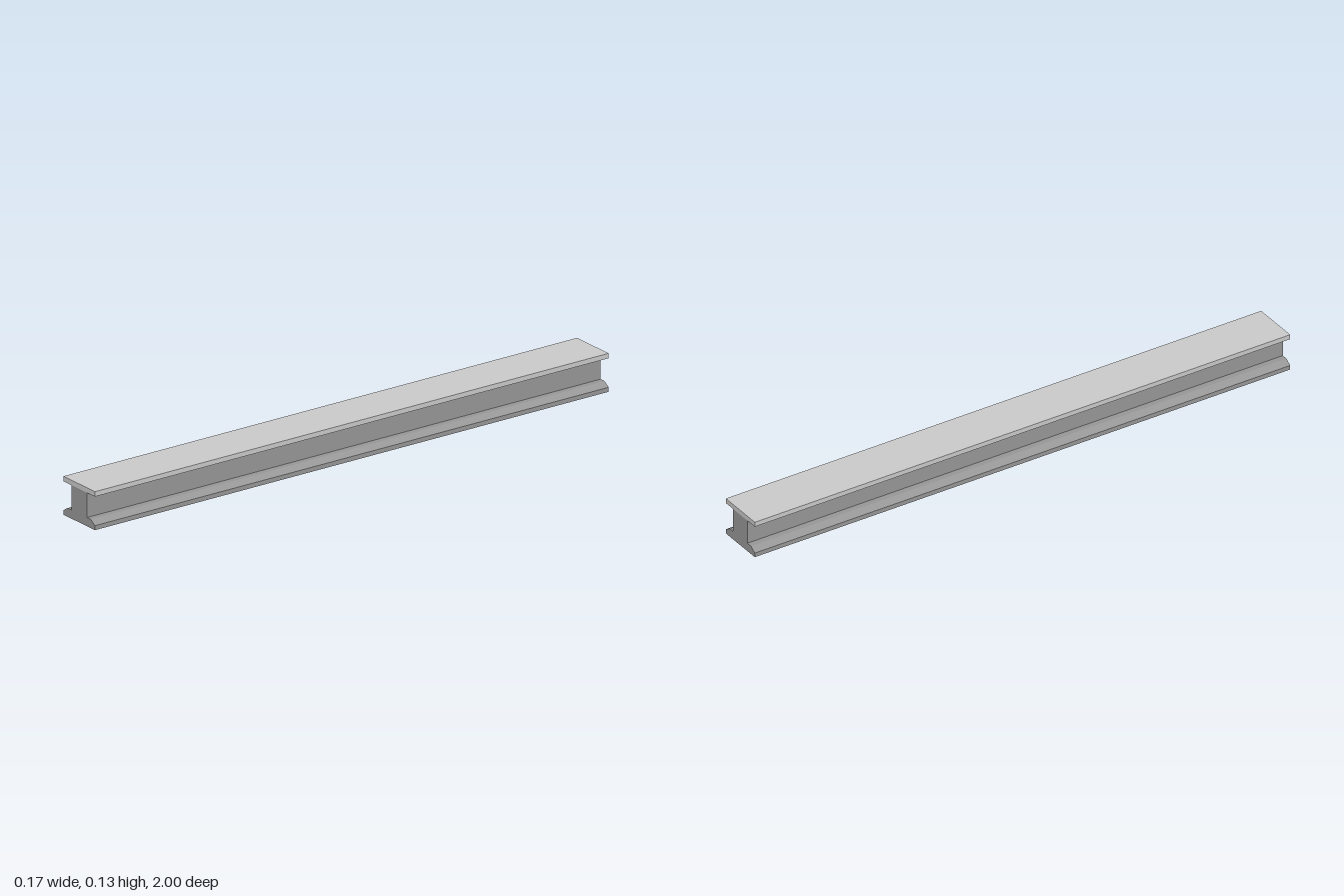
import * as THREE from 'three';

const LENGTH = 2;

// Sweeps a mirrored half outline (x, y from bottom to top) along z
function beamPart(name, half, material) {
  const mirrored = half.map(([x, y]) => [-x, y]).reverse();
  const shape = new THREE.Shape([...half, ...mirrored].map(([x, y]) => new THREE.Vector2(x, y)));
  const geometry = new THREE.ExtrudeGeometry(shape, { depth: LENGTH, bevelEnabled: false });
  geometry.translate(0, 0, -LENGTH / 2);
  const mesh = new THREE.Mesh(geometry, material);
  mesh.name = name;
  return mesh;
}

export function createModel() {
  const lightGrey = new THREE.MeshStandardMaterial({ name: 'light grey', color: 0xc8c8c8 });
  const midGrey = new THREE.MeshStandardMaterial({ name: 'mid grey', color: 0x969696 });

  const model = new THREE.Group();
  model.name = 'beam';

  // Chamfered foot and upright web as one continuous profile
  model.add(beamPart('footAndWeb', [
    [0.083, 0], [0.083, 0.015], [0.061, 0.029], [0.0405, 0.029], [0.0405, 0.1125],
  ], midGrey));

  // Flat top flange
  model.add(beamPart('topFlange', [[0.083, 0.1125], [0.083, 0.129]], lightGrey));

  return model;
}
